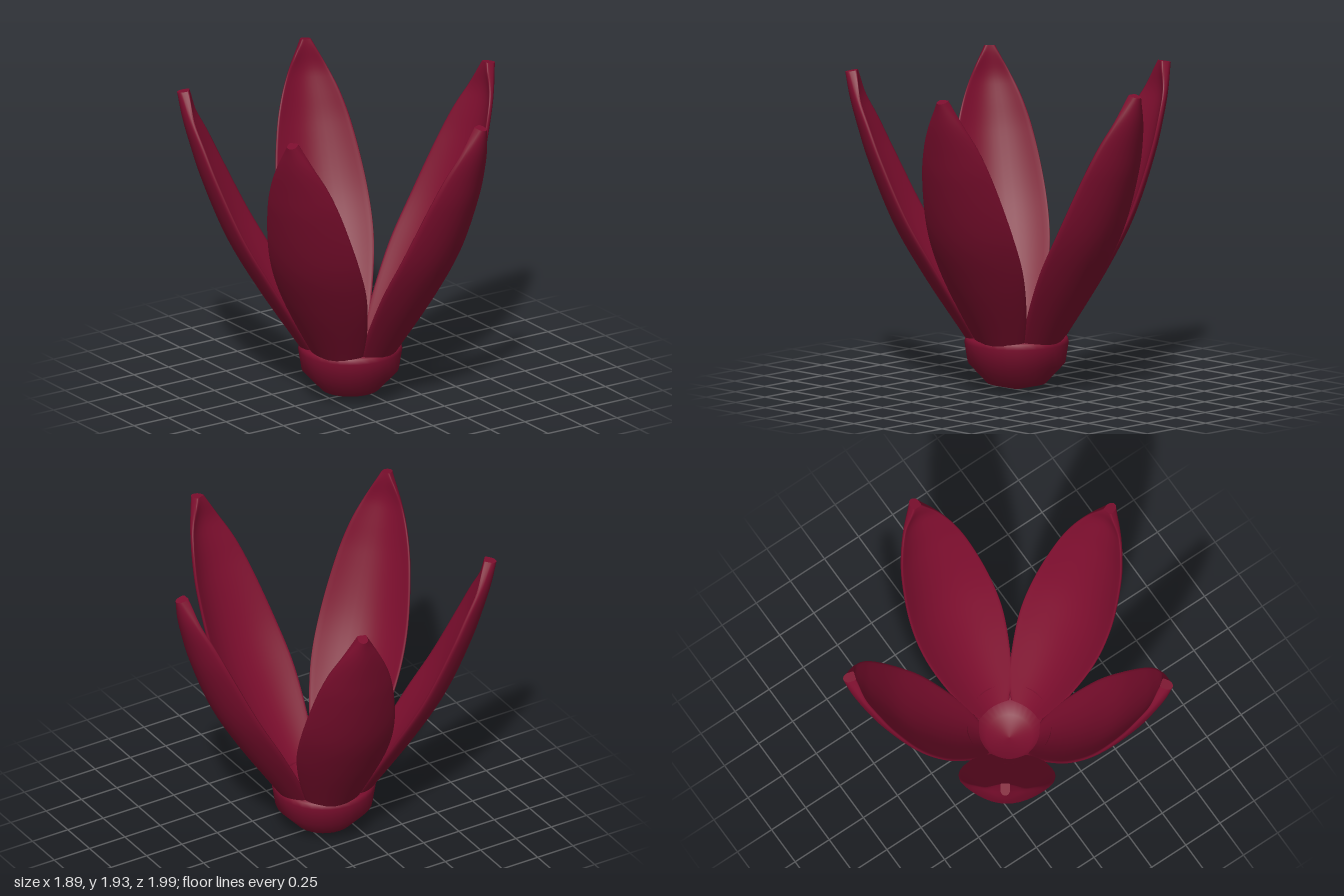
import * as THREE from 'three';

const crimson = new THREE.MeshStandardMaterial({ color: 0x7d0e2e, side: THREE.DoubleSide });
crimson.name = 'crimson';

// Spine of a petal: x = distance from the flower axis, y = height, z = half width
const spine = new THREE.CatmullRomCurve3([
  [0.22, 0.18, 0.11], [0.31, 0.32, 0.18], [0.57, 0.71, 0.28], [0.75, 1.02, 0.287],
  [0.905, 1.4, 0.235], [0.965, 1.59, 0.185], [1.015, 1.77, 0.11], [1.045, 1.925, 0.03],
].map(p => new THREE.Vector3(...p)));

// Cupped petal with thick rounded rims, swept along the spine
function petalGeometry() {
  const rows = 48, sides = 36, pos = [], idx = [];
  const addRow = (t, shrink) => {
    const p = spine.getPoint(t), d = spine.getTangent(t);
    const len = Math.hypot(d.x, d.y);
    const nx = -d.y / len, ny = d.x / len; // towards the axis
    const cup = 0.38 * p.z;
    const thick = 0.045 + 0.03 * THREE.MathUtils.smoothstep(t, 0.8, 1);
    for (let j = 0; j < sides; j++) {
      const a = (j / sides) * Math.PI * 2, c = Math.cos(a), s = Math.sin(a);
      const round = Math.sign(s) * Math.sqrt(Math.abs(s));
      const h = (cup * c * c + thick * 0.5 * (1 - round) - thick / 2) * shrink + thick / 2;
      pos.push(p.x + nx * h, p.y + ny * h, p.z * c * shrink);
    }
  };
  for (let i = 0; i <= rows; i++) addRow(i / rows, 1);
  // Blunt end of the tip
  addRow(1, 1);
  addRow(1, 0.01);
  for (let i = 0; i < rows + 2; i++) {
    if (i === rows) continue;
    for (let j = 0; j < sides; j++) {
      const k = (j + 1) % sides;
      const a = i * sides + j, b = i * sides + k;
      idx.push(a, b, a + sides, b, b + sides, a + sides);
    }
  }
  const g = new THREE.BufferGeometry();
  g.setAttribute('position', new THREE.Float32BufferAttribute(pos, 3));
  g.setIndex(idx);
  g.computeVertexNormals();
  return g;
}

export function createModel() {
  const flower = new THREE.Group();
  flower.name = 'flower';

  // Hollow cup holding the petals
  const profile = [
    [0, 0.005], [0.18, 0.05], [0.295, 0.175], [0.315, 0.3], [0.307, 0.33], [0.28, 0.345],
    [0.255, 0.32], [0.24, 0.2], [0.14, 0.1], [0, 0.08],
  ].map(p => new THREE.Vector2(...p));
  const cup = new THREE.Mesh(new THREE.LatheGeometry(profile, 32), crimson);
  cup.name = 'cup';
  flower.add(cup);

  // Five petals around the axis
  const geometry = petalGeometry();
  for (let i = 0; i < 5; i++) {
    const petal = new THREE.Mesh(geometry, crimson);
    petal.name = 'petal' + (i + 1);
    petal.rotation.y = (i * Math.PI * 2) / 5;
    flower.add(petal);
  }

  flower.position.x = -0.1;
  const model = new THREE.Group();
  model.name = 'flowerModel';
  model.add(flower);
  return model;
}
